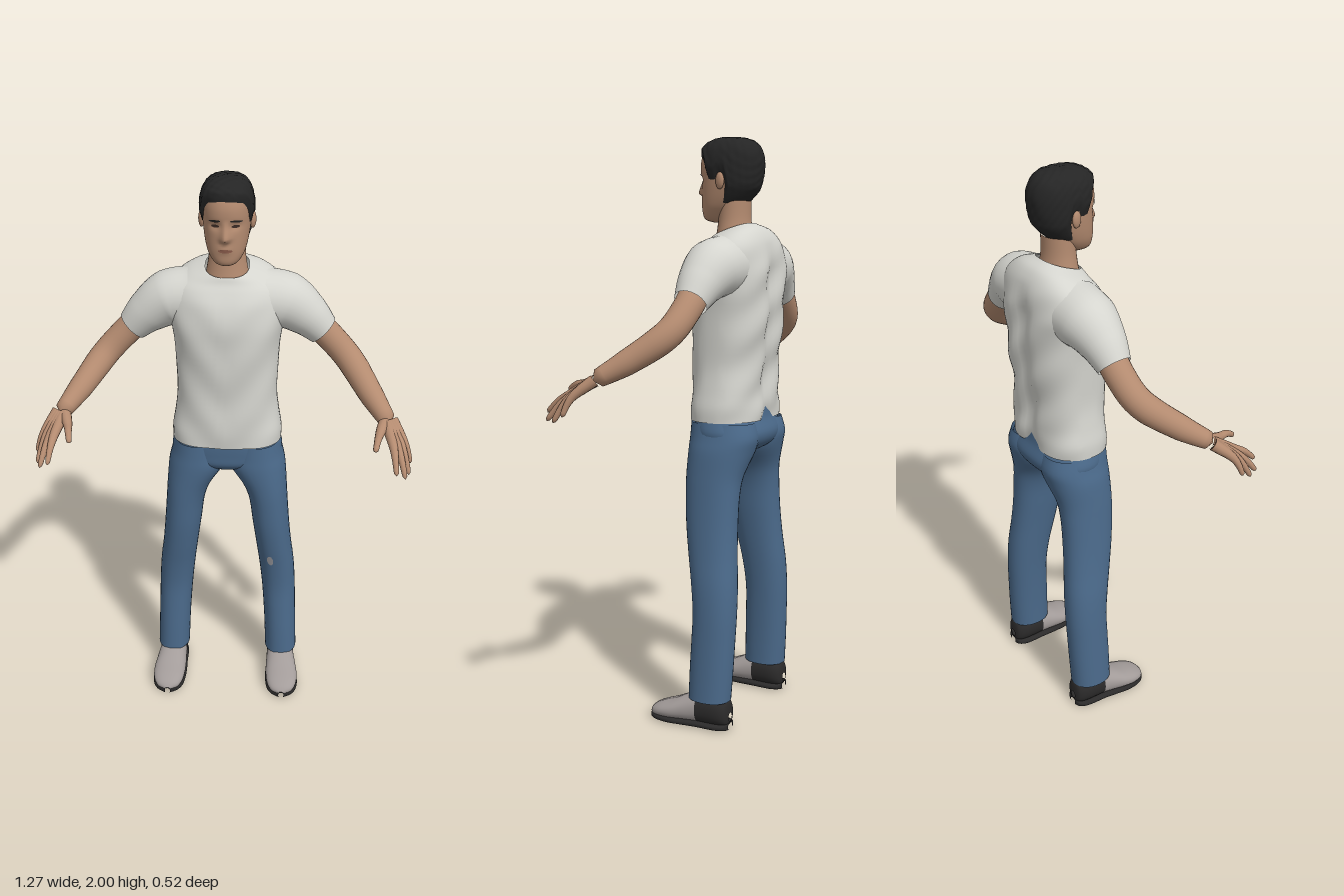
import * as THREE from 'three';
import { mergeVertices } from 'three/addons/utils/BufferGeometryUtils.js';

const mat = (name, color, side = THREE.FrontSide) => Object.assign(new THREE.MeshStandardMaterial({ color, side }), { name });
const gauss = (d, w) => Math.exp(-((d / w) ** 2));

// Catmull-Rom through section rows [y, centreX, frontZ, backZ, halfWidth, tilt]
function at(rows, t) {
  const n = rows.length - 1, i = Math.min(Math.floor(t), n - 1), f = t - i;
  return [0, 1, 2, 3, 4, 5].map(k => {
    const [a, b, c, d] = [-1, 0, 1, 2].map(o => rows[Math.min(n, Math.max(0, i + o))][k] ?? 0);
    return b + 0.5 * f * (c - a + f * (2 * a - 5 * b + 4 * c - d + f * (3 * (b - c) + d - a)));
  });
}

// Section index at a given height
function tAt(rows, y) {
  let lo = 0, hi = rows.length - 1;
  for (let i = 0; i < 24; i++) {
    const m = (lo + hi) / 2;
    if (at(rows, m)[0] < y) lo = m; else hi = m;
  }
  return lo;
}

// Skin of superellipse rings stacked upwards
function loft(rows, { p = 2, segs = 32, steps = 4, t0 = () => 0, t1 = rows.length - 1, map } = {}) {
  const n = rows.length * steps, pos = [], idx = [], v = new THREE.Vector3();
  const pw = c => Math.sign(c) * Math.abs(c) ** (2 / p);
  const starts = Array.from({ length: segs }, (_, i) => t0(i / segs * Math.PI * 2));
  for (let j = 0; j <= n; j++) for (let i = 0; i < segs; i++) {
    const a = i / segs * Math.PI * 2;
    const [y, cx, zf, zb, hx, tilt] = at(rows, starts[i] + (t1 - starts[i]) * j / n);
    const dz = (zf - zb) / 2 * pw(Math.sin(a));
    v.set(cx + hx * pw(Math.cos(a)), y - dz * tilt, (zf + zb) / 2 + dz);
    if (map) map(v, j / n);
    pos.push(v.x, v.y, v.z);
    if (j < n) {
      const A = j * segs + i, B = j * segs + (i + 1) % segs;
      idx.push(A, A + segs, B, B, A + segs, B + segs);
    }
  }
  const g = new THREE.BufferGeometry();
  g.setAttribute('position', new THREE.Float32BufferAttribute(pos, 3));
  g.setIndex(idx);
  g.computeVertexNormals();
  return g;
}

// Tube with changing radius; round closes the far end
function limb(points, radii, round = 0, segs = 16) {
  const curve = new THREE.CatmullRomCurve3(points.map(q => new THREE.Vector3(...q)));
  const n = 24, v = new THREE.Vector3();
  let g = new THREE.TubeGeometry(curve, n, 1, segs);
  const P = g.attributes.position;
  for (let i = 0; i < P.count; i++) {
    const t = Math.floor(i / (segs + 1)) / n, c = curve.getPointAt(t);
    const k = t * (radii.length - 1), a = Math.min(Math.floor(k), radii.length - 2);
    let r = radii[a] + (radii[a + 1] - radii[a]) * (k - a);
    if (round) r *= Math.sqrt(Math.max(0.0004, 1 - Math.max(0, (t - 1 + round) / round) ** 2));
    v.fromBufferAttribute(P, i).sub(c).multiplyScalar(r).add(c);
    P.setXYZ(i, v.x, v.y, v.z);
  }
  g.deleteAttribute('uv');
  g.deleteAttribute('normal');
  g = mergeVertices(g, 1e-6);
  g.computeVertexNormals();
  return g;
}

// Thin oval that follows the front of a lofted surface
function patch(rows, cx, cy, w, h, extra = () => 0, lift = 0.002, slope = 0) {
  const g = new THREE.CircleGeometry(1, 20), P = g.attributes.position, p = 2.2;
  for (let i = 0; i < P.count; i++) {
    const x = cx + w * P.getX(i), y = cy + h * P.getY(i) + slope * w * P.getX(i);
    const [, mx, zf, zb, hx] = at(rows, tAt(rows, y));
    const bulge = Math.max(0, 1 - Math.abs((x - mx) / hx) ** p) ** (1 / p);
    P.setXYZ(i, x, y, (zf + zb) / 2 + (zf - zb) / 2 * bulge + extra(x, y) + lift);
  }
  g.computeVertexNormals();
  return g;
}

export function createModel() {
  const root = new THREE.Group();
  root.name = 'standingMan';
  const D = THREE.DoubleSide;
  const skin = mat('skin', 0xb48b70), shirt = mat('shirtWhite', 0xd5d5cf, D), denim = mat('denim', 0x4b6a8b, D);
  const hairMat = mat('hairBlack', 0x252525, D), shoeGrey = mat('shoeGrey', 0xa39c9a), black = mat('shoeBlack', 0x2b2a2a);
  const lipMat = mat('lip', 0x8c5d4c), eyeMat = mat('eyeDark', 0x3a2a24), worn = mat('wornDenim', 0x97979c);
  const add = (name, g, m) => {
    const o = new THREE.Mesh(g, m);
    o.name = name;
    root.add(o);
    return o;
  };

  // Head, with nose, eye sockets and lips raised by rule
  const headRows = [
    [1.72, 0, -0.03, -0.06, 0.004], [1.727, 0, -0.006, -0.08, 0.03], [1.74, 0, 0.004, -0.1, 0.046],
    [1.765, 0, 0.007, -0.13, 0.061], [1.795, 0, 0.008, -0.16, 0.07], [1.83, 0, 0.008, -0.185, 0.076],
    [1.86, 0, 0.007, -0.195, 0.079], [1.89, 0, 0.011, -0.2, 0.08], [1.92, 0, 0.01, -0.202, 0.079],
    [1.95, 0, 0, -0.195, 0.073], [1.973, 0, -0.025, -0.178, 0.058], [1.986, 0, -0.06, -0.145, 0.034],
    [1.989, 0, -0.1, -0.102, 0.002]];
  const relief = (x, y) => {
    const up = y > 1.82 ? Math.max(0, 1 - (y - 1.82) / 0.06) : gauss(y - 1.82, 0.011);
    return 0.024 * up * gauss(x, 0.009 + 0.007 * up) - 0.007 * gauss(Math.abs(x) - 0.032, 0.017) * gauss(y - 1.861, 0.012)
      + 0.004 * gauss(x, 0.022) * gauss(y - 1.783, 0.012);
  };
  add('head', loft(headRows, { p: 2.2, segs: 96, map: v => { if (v.z > -0.07) v.z += relief(v.x, v.y); } }), skin);
  add('neck', loft([[1.63, 0, -0.04, -0.185, 0.08], [1.68, 0, -0.05, -0.172, 0.07], [1.73, 0, -0.056, -0.165, 0.062],
    [1.79, 0, -0.06, -0.165, 0.06]]), skin);
  add('mouth', patch(headRows, 0, 1.781, 0.024, 0.006, relief), lipMat);
  for (const s of [1, -1]) {
    add('eye', patch(headRows, s * 0.033, 1.86, 0.013, 0.005, relief), eyeMat);
    add('eyebrow', patch(headRows, s * 0.035, 1.878, 0.02, 0.004, relief, 0.003, -s * 0.1), hairMat);
    const ear = add('ear', new THREE.SphereGeometry(1, 16, 12), skin);
    ear.scale.set(0.01, 0.028, 0.018);
    ear.position.set(s * 0.084, 1.855, -0.097);
    ear.rotation.y = -s * 0.3;
  }

  // Hair shell, from a hairline that dips at sideburns and nape
  const line = [[-1, 1.78], [-0.3, 1.785], [-0.15, 1.865], [0.08, 1.88], [0.14, 1.858], [0.4, 1.862],
    [0.52, 1.905], [0.72, 1.93], [1.01, 1.94]];
  const hairline = a => {
    const s = Math.sin(a), i = Math.max(1, line.findIndex(q => q[0] >= s)), p = line[i - 1], q = line[i];
    return tAt(headRows, p[1] + (q[1] - p[1]) * (s - p[0]) / (q[0] - p[0]));
  };
  const mid = new THREE.Vector3(0, 1.87, -0.1);
  add('hair', loft(headRows, {
    p: 2.2, segs: 96, steps: 3, t0: hairline, map: (v, k) => {
      const d = v.clone().sub(mid).normalize();
      const tuft = 0.0015 * Math.sin(v.x * 190 + v.y * 90) * Math.sin(v.z * 210 - v.y * 120);
      const quiff = 0.009 * Math.max(0, d.z) * Math.max(0, d.y);
      v.addScaledVector(d, 0.002 + 0.0095 * Math.min(1, k * 5) + (tuft + quiff) * Math.min(1, k * 4));
    },
  }), hairMat);

  // T-shirt body with a spine groove and soft folds
  const shirtRows = [
    [1.055, 0, 0.008, -0.24, 0.194], [1.1, 0, 0.01, -0.245, 0.194], [1.16, 0, 0.01, -0.243, 0.184],
    [1.24, 0, 0.01, -0.245, 0.175], [1.34, 0, 0.015, -0.258, 0.178], [1.43, 0, 0.02, -0.264, 0.183],
    [1.51, 0, 0.02, -0.264, 0.195], [1.58, 0, 0.004, -0.262, 0.205], [1.635, 0, -0.018, -0.248, 0.19, 0.1],
    [1.672, 0, -0.035, -0.22, 0.14, 0.25], [1.69, 0, -0.042, -0.185, 0.088, 0.33], [1.694, 0, -0.045, -0.178, 0.074, 0.35]];
  add('shirtBody', loft(shirtRows, {
    p: 2.4, segs: 64, map: v => {
      const fade = Math.max(0, Math.min(1, (1.66 - v.y) / 0.1));
      if (v.z < -0.15) v.z += fade * (0.018 * gauss(v.x, 0.035) + 0.004 * Math.sin(v.y * 38 + v.x * 30));
      else if (v.z > -0.08) v.z += fade * 0.003 * Math.sin(v.y * 30 - Math.abs(v.x) * 35);
    },
  }), shirt);

  // Jeans seat
  add('jeansSeat', loft([[0.925, 0, -0.09, -0.14, 0.01], [0.94, 0, -0.05, -0.19, 0.08], [0.97, 0, -0.015, -0.235, 0.17],
    [1.01, 0, -0.008, -0.25, 0.198], [1.06, 0, -0.005, -0.235, 0.189], [1.1, 0, -0.01, -0.23, 0.18]], { p: 2.3, segs: 48 }), denim);

  // Fingers: start on the wrist, knuckle, tip
  const fingers = [
    ['IndexFinger', [0.548, 1.222, 0.095], [0.568, 1.178, 0.175], [0.578, 1.115, 0.26]],
    ['MiddleFinger', [0.555, 1.224, 0.09], [0.584, 1.17, 0.168], [0.61, 1.092, 0.24]],
    ['RingFinger', [0.562, 1.226, 0.086], [0.597, 1.17, 0.155], [0.624, 1.09, 0.205]],
    ['LittleFinger', [0.568, 1.228, 0.082], [0.606, 1.177, 0.138], [0.63, 1.112, 0.165]],
    ['Thumb', [0.54, 1.225, 0.09], [0.522, 1.208, 0.15], [0.506, 1.182, 0.225]]];
  // Shoe sections from heel to toe: z, x, -bottom, -top, half width
  const shoeRows = [
    [-0.212, 0.212, -0.03, -0.06, 0.012], [-0.203, 0.212, -0.012, -0.1, 0.036], [-0.17, 0.212, -0.008, -0.118, 0.05],
    [-0.1, 0.214, -0.008, -0.118, 0.053], [-0.05, 0.217, -0.008, -0.1, 0.058], [0, 0.221, -0.008, -0.077, 0.061],
    [0.045, 0.222, -0.008, -0.06, 0.055], [0.075, 0.222, -0.01, -0.045, 0.038], [0.09, 0.222, -0.02, -0.028, 0.008]];
  const soleRows = shoeRows.map(([z, x, , , w]) => [z, x, 0, -0.024, w + 0.002]);

  for (const s of [1, -1]) {
    const side = s > 0 ? 'left' : 'right';
    const flip = rows => rows.map(([y, x, ...rest]) => [y, s * x, ...rest]);
    const path = pts => pts.map(([x, ...rest]) => [s * x, ...rest]);

    // Sleeve, arm and hand
    add(side + 'Sleeve', limb(path([[0.12, 1.572, -0.133], [0.2, 1.562, -0.133], [0.27, 1.518, -0.128], [0.328, 1.462, -0.126]]),
      [0.105, 0.098, 0.077, 0.056], 0, 28), shirt);
    add(side + 'Arm', limb(path([[0.29, 1.5, -0.126], [0.35, 1.442, -0.124], [0.42, 1.37, -0.1], [0.495, 1.285, 0], [0.556, 1.223, 0.095]]),
      [0.05, 0.048, 0.047, 0.041, 0.028], 0.05, 24), skin);
    for (const [name, a, b, c] of fingers) {
      const bend = b.map((q, i) => (q + c[i]) / 2 + (i === 1 ? 0.008 : 0));
      const r = name === 'Thumb' ? [0.02, 0.018, 0.014, 0.011, 0.009] : [0.02, 0.018, 0.0145, 0.0105, 0.008];
      add(side + name, limb(path([a, b, bend, c]), r, 0.08, 12), skin);
    }

    // Trouser leg
    const legRows = flip([
      [0.1, 0.213, -0.058, -0.208, 0.061], [0.2, 0.209, -0.06, -0.214, 0.061],
      [0.3, 0.204, -0.064, -0.218, 0.062], [0.4, 0.198, -0.066, -0.221, 0.064], [0.5, 0.189, -0.055, -0.219, 0.066],
      [0.6, 0.176, -0.037, -0.211, 0.066], [0.7, 0.164, -0.022, -0.206, 0.068], [0.8, 0.153, -0.014, -0.206, 0.071],
      [0.87, 0.138, -0.01, -0.212, 0.081], [0.95, 0.108, -0.006, -0.236, 0.104], [1.0, 0.102, -0.008, -0.247, 0.098],
      [1.05, 0.1, -0.01, -0.235, 0.088]]);
    add(side + 'TrouserLeg', loft(legRows, { p: 2.2 }), denim);
    if (s > 0) add('kneeWear', patch(legRows, 0.166, 0.55, 0.012, 0.022, undefined, 0.003, -0.4), worn);

    // Shoe: grey front, black heel and sole
    const turn = g => g.rotateX(Math.PI / 2);
    add(side + 'ShoeFront', turn(loft(flip(shoeRows), { p: 2.2, t0: () => 3 })), shoeGrey);
    add(side + 'ShoeHeel', turn(loft(flip(shoeRows), { p: 2.2, t1: 3 })), black);
    add(side + 'ShoeSole', turn(loft(flip(soleRows), { p: 3 })), black);
  }
  return root;
}
